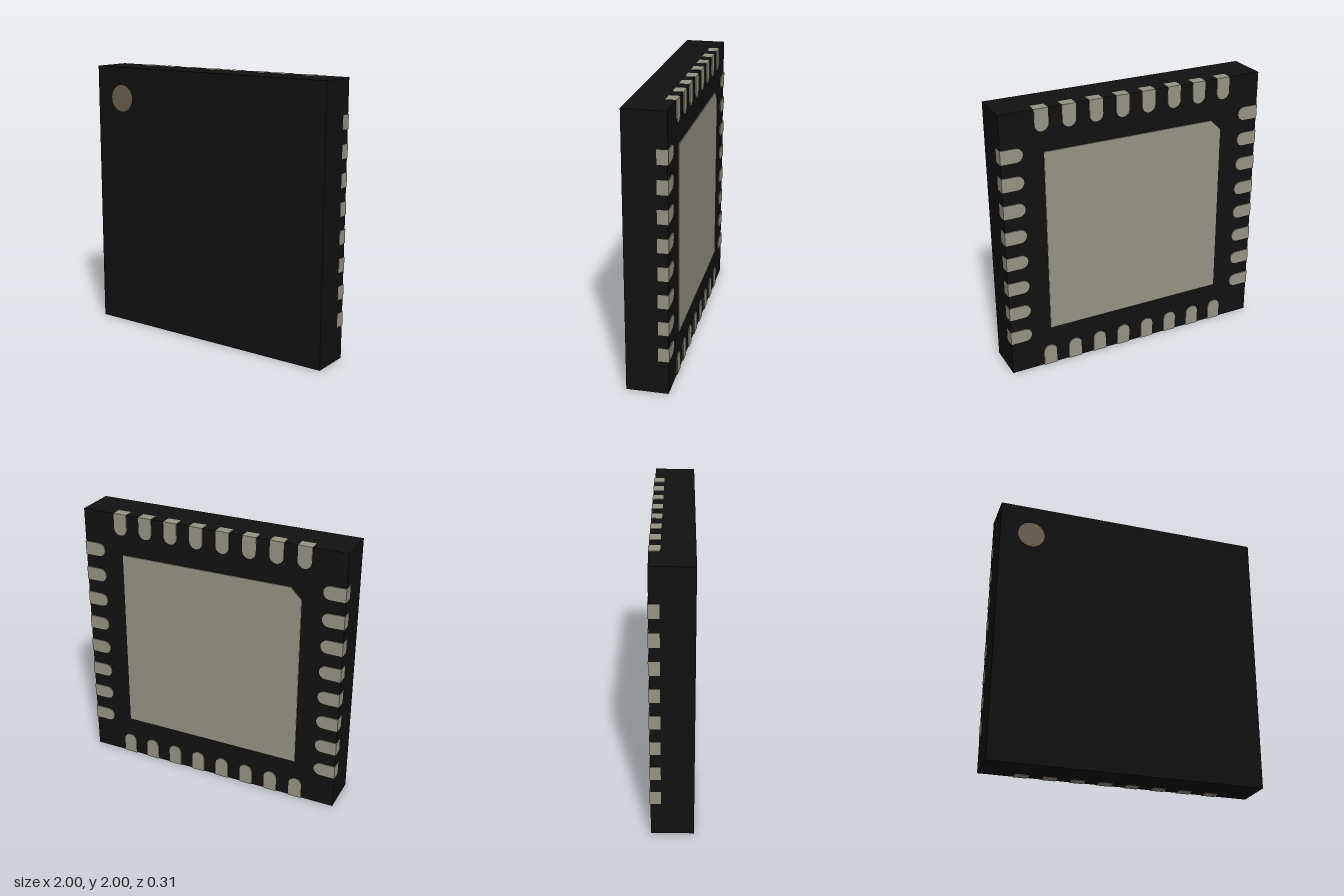
import * as THREE from 'three';

const HALF_DEPTH = 0.152;   // package half thickness
const PAD_DEPTH = 0.077;    // how far the leads reach up the sides
const PROUD = 0.006;        // metal standing out behind the moulding

const mat = (color) => new THREE.MeshStandardMaterial({ color });

function add(parent, name, geometry, material, x = 0, y = 0, z = 0) {
  const mesh = new THREE.Mesh(geometry, material);
  mesh.name = name;
  mesh.position.set(x, y, z);
  parent.add(mesh);
  return mesh;
}

const extrude = (shape, depth) =>
  new THREE.ExtrudeGeometry(shape, { depth, bevelEnabled: false, curveSegments: 12 });

export function createModel() {
  const model = new THREE.Group();
  model.name = 'leadlessChip';
  const black = mat(0x111111);
  const metal = mat(0x969484);
  const marker = mat(0x6b6150);

  // Moulded body, a hair smaller than the leads
  const bodyDepth = 2 * HALF_DEPTH - PROUD;
  add(model, 'body', new THREE.BoxGeometry(1.996, 1.996, bodyDepth), black, 0, 1, PROUD / 2);

  // Round orientation mark on the front
  const dot = new THREE.CylinderGeometry(0.1, 0.1, 0.004, 40).rotateX(Math.PI / 2);
  add(model, 'orientationDot', dot, marker, -0.765, 1.765, HALF_DEPTH);

  // Square thermal pad on the back with one clipped corner
  const p = 0.69, c = 0.08;
  const padShape = new THREE.Shape([
    [-p, -p], [p, -p], [p, p], [-p + c, p], [-p, p - c],
  ].map(([x, y]) => new THREE.Vector2(x, y)));
  add(model, 'thermalPad', extrude(padShape, 0.02), metal, 0, 1, -HALF_DEPTH);

  // One lead: square at the outer edge, rounded at the inner end
  const w = 0.05;
  const leadShape = new THREE.Shape();
  leadShape.moveTo(w, 1);
  leadShape.lineTo(-w, 1);
  leadShape.lineTo(-w, 0.84 + w);
  leadShape.absarc(0, 0.84 + w, w, Math.PI, 2 * Math.PI, false);
  leadShape.closePath();
  const leadGeometry = extrude(leadShape, PAD_DEPTH);

  // Eight leads along each of the four edges
  ['topLeads', 'rightLeads', 'bottomLeads', 'leftLeads'].forEach((name, side) => {
    const row = new THREE.Group();
    row.name = name;
    row.position.y = 1;
    row.rotation.z = side * Math.PI / 2;
    for (let i = 0; i < 8; i++) {
      add(row, 'lead', leadGeometry, metal, -0.7 + i * 0.2, 0, -HALF_DEPTH);
    }
    model.add(row);
  });

  return model;
}
